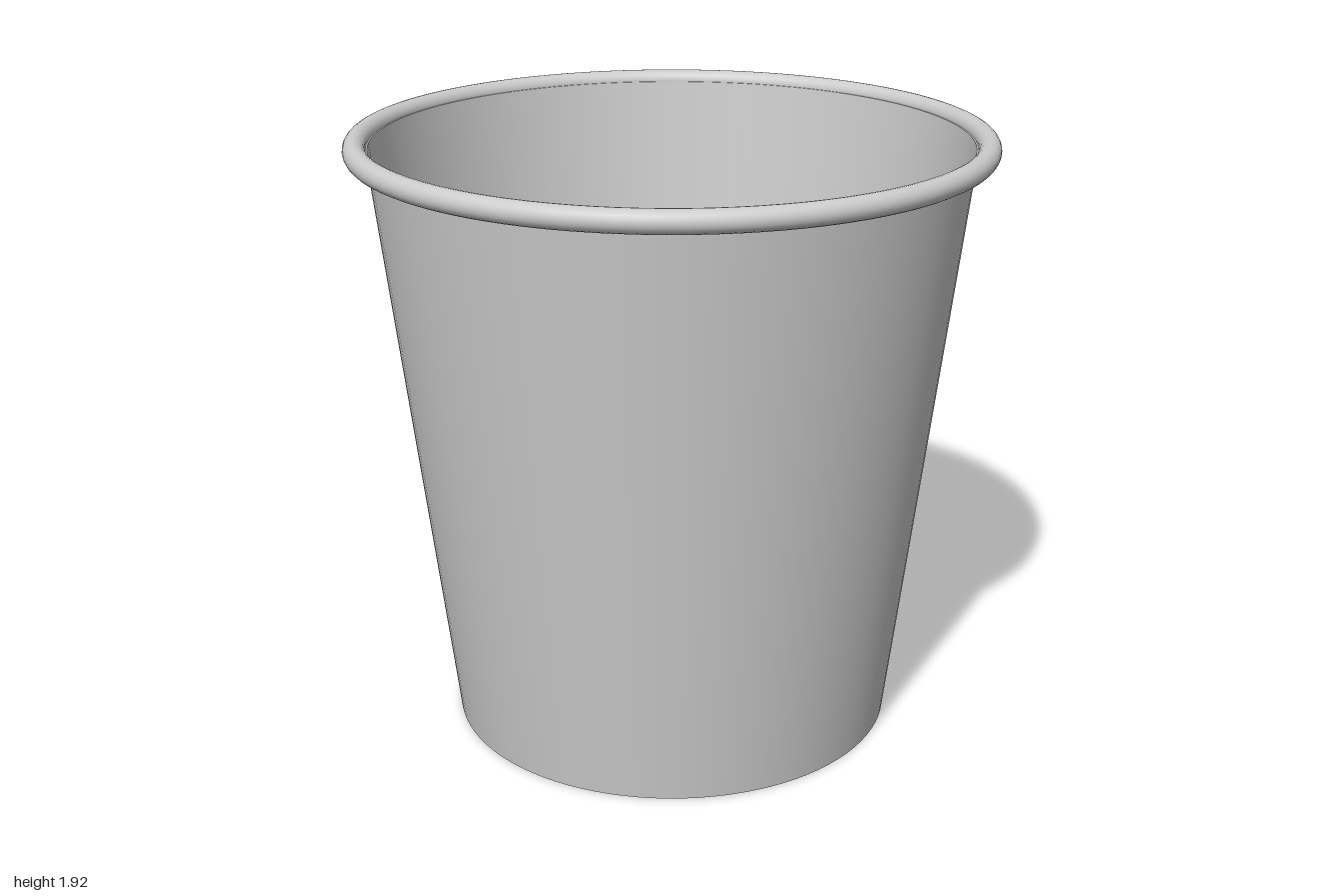
import * as THREE from 'three';

const SEGMENTS = 96;
const HEIGHT = 1.89, BASE_R = 0.711, SLOPE = 0.1175, WALL = 0.008;
const radiusAt = (y) => BASE_R + SLOPE * y;

export function createModel() {
  const cup = new THREE.Group();
  cup.name = 'cup';
  const material = new THREE.MeshStandardMaterial({ color: 0xcccccc });

  const add = (name, geometry, y = 0) => {
    const mesh = new THREE.Mesh(geometry, material);
    mesh.name = name;
    mesh.position.y = y;
    cup.add(mesh);
    return mesh;
  };
  // One straight band of revolution, so the edges between bands stay sharp
  const band = (name, r0, y0, r1, y1) => add(name, new THREE.LatheGeometry(
    [new THREE.Vector2(r0, y0), new THREE.Vector2(r1, y1)], SEGMENTS));

  // Tapered wall: outside, inside and the thin edges joining them
  const topR = radiusAt(HEIGHT);
  band('outerWall', BASE_R, 0, topR, HEIGHT);
  band('innerWall', topR - WALL, HEIGHT, BASE_R - WALL, 0);
  band('bottomEdge', BASE_R - WALL, 0, BASE_R, 0);
  band('topEdge', topR, HEIGHT, topR - WALL, HEIGHT);

  // Floor, recessed above the bottom edge
  const floorY = 0.14, floorThickness = 0.01;
  add('floor', new THREE.CylinderGeometry(radiusAt(floorY) - WALL / 2, radiusAt(floorY) - WALL / 2,
    floorThickness, SEGMENTS), floorY + floorThickness / 2);

  // Rolled rim
  const tube = 0.035;
  add('rim', new THREE.TorusGeometry(1 - tube, tube, 20, SEGMENTS).rotateX(Math.PI / 2), HEIGHT);

  return cup;
}
